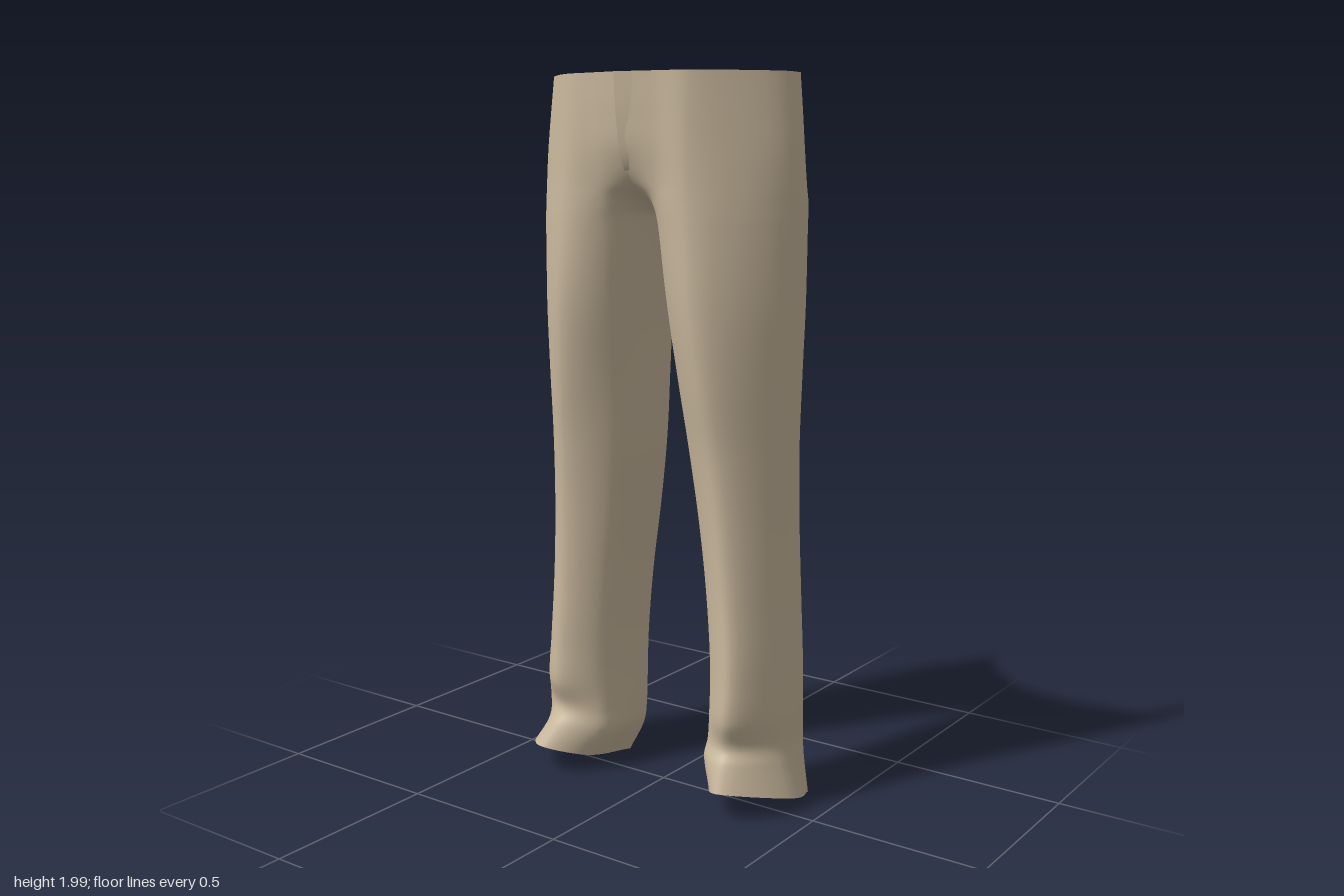
import * as THREE from 'three';

// Each row: height, back edge x z, widest x, crease x z, inner front x z, inner end x z
const leftRows = [
  [2.00, .357, -.11, .362, .200, .170, .100, .193, 0, .208],
  [1.90, .366, -.11, .374, .200, .174, .100, .189, 0, .200],
  [1.80, .374, -.11, .384, .200, .177, .096, .182, 0, .184],
  [1.71, .376, -.12, .387, .202, .179, .088, .166, 0, .135],
  [1.66, .376, -.13, .387, .204, .180, .083, .152, 0, .040],
  [1.61, .375, -.13, .387, .206, .181, .080, .137, .003, -.08],
  [1.40, .370, -.135, .384, .222, .180, .087, .107, .024, -.10],
  [1.20, .360, -.14, .376, .240, .163, .102, .078, .050, -.105],
  [1.00, .355, -.14, .371, .258, .135, .128, .060, .078, -.10],
  [0.80, .356, -.145, .371, .273, .121, .155, .050, .108, -.09],
  [0.60, .362, -.15, .376, .290, .120, .180, .050, .138, -.08],
  [0.40, .372, -.15, .387, .305, .130, .197, .055, .160, -.07],
];
const leftCuff = [
  [0.28, .375, -.15, .393, .300, .133, .197, .058, .163, -.06],
  [0.20, .376, -.15, .392, .285, .110, .190, .055, .165, -.06],
  [0.16, .380, -.15, .402, .285, .132, .182, .060, .168, -.06],
  [0.09, .390, -.16, .430, .290, .160, .220, .085, .212, -.05],
];
const rightRows = [
  [2.00, .372, -.11, .384, .200, .170, .100, .193, 0, .208],
  [1.90, .382, -.11, .397, .202, .174, .100, .189, 0, .200],
  [1.80, .390, -.115, .408, .205, .177, .096, .182, 0, .184],
  [1.71, .394, -.125, .413, .208, .179, .090, .166, 0, .135],
  [1.66, .395, -.135, .414, .211, .180, .086, .152, 0, .040],
  [1.61, .395, -.145, .414, .214, .181, .084, .137, .006, -.08],
  [1.40, .386, -.165, .405, .228, .180, .100, .107, .045, -.11],
  [1.20, .376, -.17, .395, .242, .163, .116, .078, .066, -.125],
  [1.00, .368, -.175, .387, .258, .138, .130, .060, .080, -.13],
  [0.80, .368, -.19, .386, .270, .123, .150, .050, .105, -.135],
  [0.60, .372, -.20, .391, .280, .121, .172, .050, .133, -.135],
  [0.40, .380, -.18, .403, .288, .130, .186, .055, .148, -.13],
];
const rightCuff = [
  [0.28, .388, -.18, .416, .288, .135, .186, .058, .152, -.13],
  [0.20, .390, -.18, .424, .285, .112, .180, .058, .155, -.13],
  [0.15, .380, -.185, .404, .300, .140, .176, .065, .165, -.13],
  [0.09, .360, -.205, .436, .325, .175, .215, .095, .212, -.12],
];

// Spline sheet: curves run down the leg, each row is a spline across them
function legSurface(rows, side) {
  const across = 32, down = 120;
  const drop = [.08, .04, 0, .03, .08]; // hem hangs lower towards the back
  const columns = drop.map((d, j) => new THREE.CatmullRomCurve3(rows.map((r) => {
    const [y, ex, ez, ox, cx, cz, mx, mz, ix, iz] = r;
    const [x, z] = [[ex, ez], [ox, -.02], [cx, cz], [mx, mz], [ix, iz]][j];
    const low = THREE.MathUtils.clamp((.3 - y) / .21, 0, 1);
    return new THREE.Vector3(side * x, y - d * low * low, z);
  })));
  const pos = [], idx = [];
  for (let i = 0; i <= down; i++) {
    const row = new THREE.CatmullRomCurve3(columns.map((c) => c.getPoint(i / down)));
    for (let k = 0; k <= across; k++) {
      pos.push(...row.getPoint(k / across).toArray());
      if (i === down || k === across) continue;
      const a = i * (across + 1) + k, b = a + 1, c = a + across + 1, d = c + 1;
      if (side > 0) idx.push(a, b, c, b, d, c);
      else idx.push(a, c, b, b, c, d);
    }
  }
  const g = new THREE.BufferGeometry();
  g.setAttribute('position', new THREE.Float32BufferAttribute(pos, 3));
  g.setIndex(idx);
  g.computeVertexNormals();
  return g;
}

// Narrow overlap lying just in front of the centre seam
function flySurface() {
  const g = new THREE.PlaneGeometry(1, 1, 1, 10);
  const p = g.attributes.position;
  const line = new THREE.SplineCurve([[2, .208], [1.9, .2], [1.8, .184], [1.75, .164]]
    .map((v) => new THREE.Vector2(...v)));
  for (let i = 0; i < p.count; i++) {
    const t = .5 - p.getY(i), q = line.getPoint(t), outer = p.getX(i) > 0;
    const width = .045 * Math.sqrt(1 - t * t * .98);
    p.setXYZ(i, outer ? width : -.006, q.x, q.y + (outer ? -width * .13 : .005));
  }
  g.computeVertexNormals();
  return g;
}

export function createModel() {
  const group = new THREE.Group();
  group.name = 'trousers';
  const cloth = new THREE.MeshStandardMaterial({ color: 0xc8b79c });
  cloth.name = 'khaki cloth';
  cloth.side = THREE.DoubleSide;
  const add = (name, geometry) => {
    const mesh = new THREE.Mesh(geometry, cloth);
    mesh.name = name;
    group.add(mesh);
  };
  add('leftLeg', legSurface([...leftRows, ...leftCuff], 1));
  add('rightLeg', legSurface([...rightRows, ...rightCuff], -1));
  add('fly', flySurface());
  return group;
}
